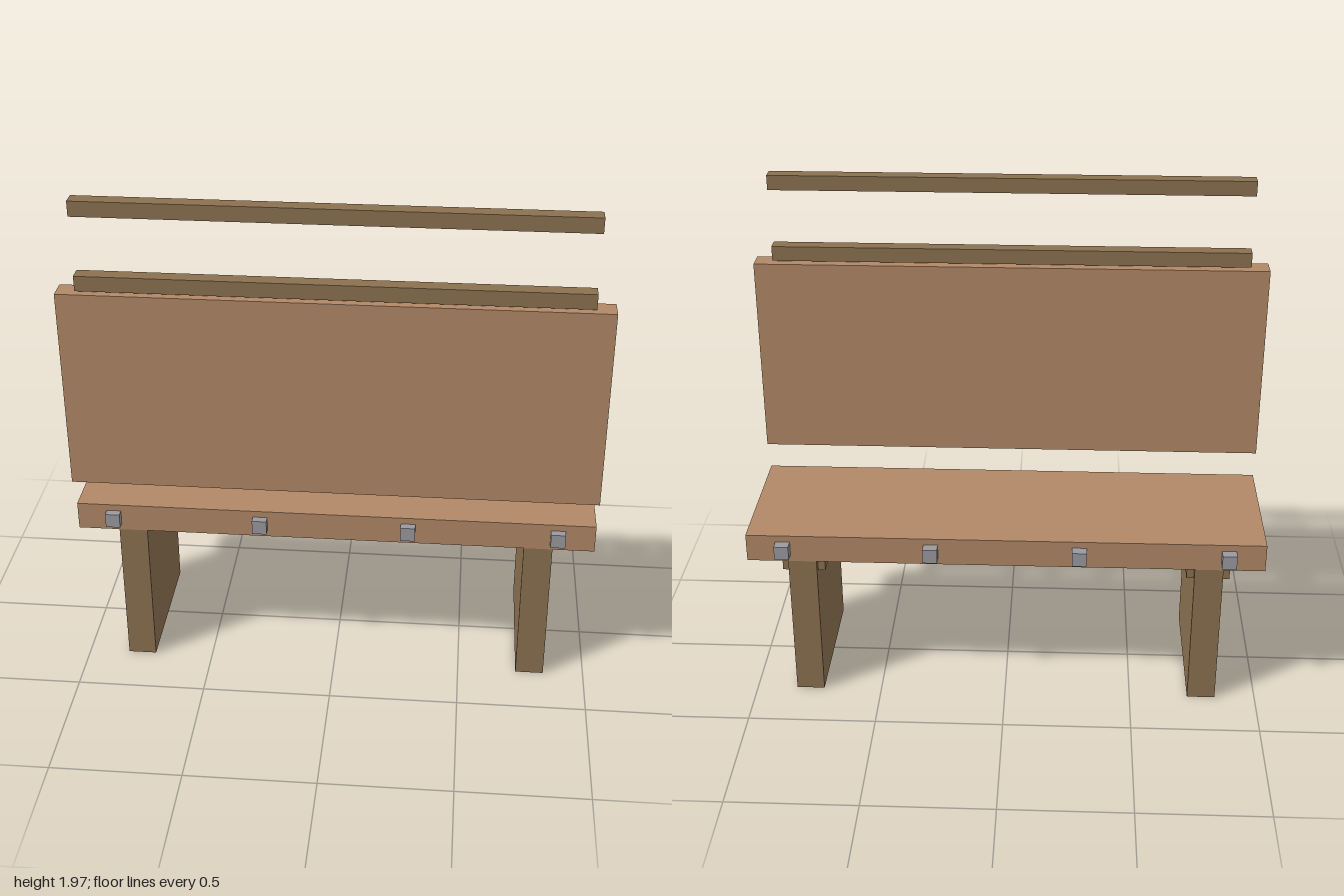
import * as THREE from 'three';

export function createModel() {
  const model = new THREE.Group();
  model.name = 'bench';

  const lightWood = new THREE.MeshStandardMaterial({ color: 0xb08866 });
  const darkWood = new THREE.MeshStandardMaterial({ color: 0x8a7050 });
  const metal = new THREE.MeshStandardMaterial({ color: 0x9a999f });

  // Box given by its extents on each axis
  function box(name, material, [x0, x1], [y0, y1], [z0, z1]) {
    const mesh = new THREE.Mesh(new THREE.BoxGeometry(x1 - x0, y1 - y0, z1 - z0), material);
    mesh.position.set((x0 + x1) / 2, (y0 + y1) / 2, (z0 + z1) / 2);
    mesh.name = name;
    model.add(mesh);
  }

  // Seat plank and floating back panel
  box('seat', lightWood, [-1, 1], [0.597, 0.708], [-0.287, 0.287]);
  box('backPanel', lightWood, [-1, 1], [0.832, 1.618], [0.242, 0.328]);

  // Two thin rails above the panel
  box('lowerRail', darkWood, [-0.928, 0.928], [1.627, 1.685], [0.258, 0.315]);
  box('upperRail', darkWood, [-0.928, 0.928], [1.912, 1.97], [0.258, 0.315]);

  // Slab legs, each with a tenon block passing through near the rear edge
  for (const [side, x] of [['left', 0.786], ['right', -0.786]]) {
    box(side + 'Leg', darkWood, [x - 0.055, x + 0.055], [0, 0.597], [-0.286, 0.286]);
    box(side + 'Tenon', darkWood, [x - 0.083, x + 0.083], [0.54, 0.597], [-0.257, -0.172]);
  }

  // Square studs along the front and rear edges of the seat
  for (const x of [-0.858, -0.286, 0.286, 0.858]) {
    box('frontStud', metal, [x - 0.028, x + 0.028], [0.625, 0.682], [0.262, 0.318]);
    box('rearStud', metal, [x - 0.028, x + 0.028], [0.625, 0.682], [-0.328, -0.272]);
  }

  return model;
}
